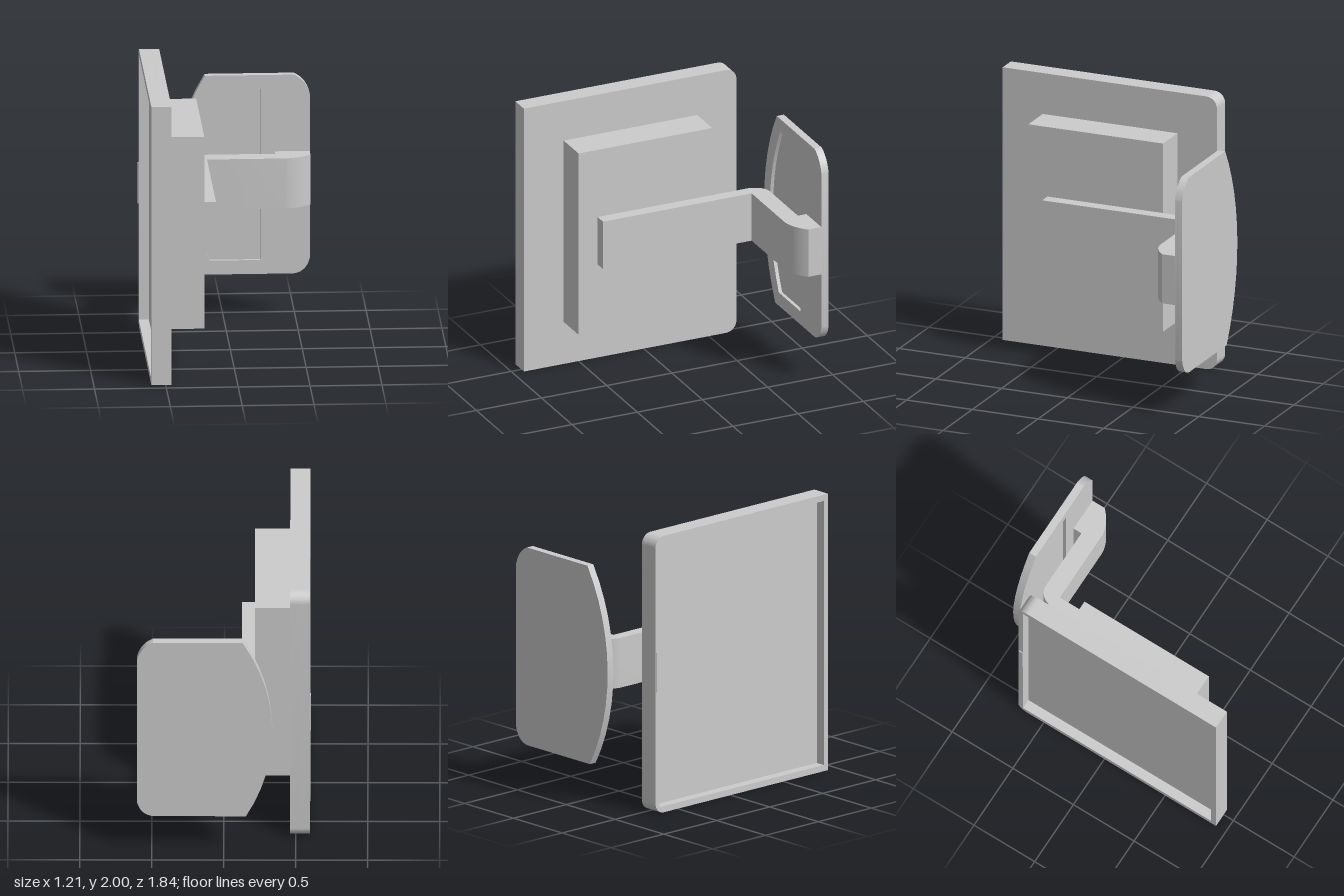
import * as THREE from 'three';
import { toCreasedNormals } from 'three/addons/utils/BufferGeometryUtils.js';

const material = new THREE.MeshStandardMaterial({ color: 0xcccccc });

function mesh(name, geometry) {
  const m = new THREE.Mesh(geometry, material);
  m.name = name;
  return m;
}

function block(name, x0, x1, y0, y1, z0, z1) {
  const g = new THREE.BoxGeometry(x1 - x0, y1 - y0, z1 - z0);
  g.translate((x0 + x1) / 2, (y0 + y1) / 2, (z0 + z1) / 2);
  return mesh(name, g);
}

function slab(shape, depth) {
  return new THREE.ExtrudeGeometry(shape, { depth, bevelEnabled: false, curveSegments: 12 });
}

const smooth = (g) => toCreasedNormals(g, 0.45);

// Panel outline in (z, y), rounded only along its rear edge
function panelShape() {
  const r = 0.08, z0 = -0.71, z1 = 0.92;
  const s = new THREE.Shape();
  s.moveTo(z1, 0);
  s.lineTo(z1, 2);
  s.lineTo(z0 + r, 2);
  s.absarc(z0 + r, 2 - r, r, Math.PI / 2, Math.PI, false);
  s.lineTo(z0, r);
  s.absarc(z0 + r, r, r, Math.PI, Math.PI * 1.5, false);
  s.closePath();
  return s;
}

function createPanel() {
  const group = new THREE.Group();
  group.name = 'panel';
  const place = (shape, depth, x) => smooth(slab(shape, depth).rotateY(-Math.PI / 2).translate(x, 0, 0));
  group.add(mesh('panelBody', place(panelShape(), 0.07, -0.46)));

  // Raised rim around the recessed outer face
  const rim = panelShape();
  const hole = new THREE.Path();
  hole.moveTo(-0.67, 0.045);
  hole.lineTo(-0.67, 1.955);
  hole.lineTo(0.88, 1.955);
  hole.lineTo(0.88, 0.045);
  hole.closePath();
  rim.holes.push(hole);
  group.add(mesh('panelRim', place(rim, 0.07, -0.53)));
  group.add(block('rimTab', -0.607, -0.6, 0.88, 1.17, -0.705, -0.675));
  return group;
}

// Bent arm, drawn in plan as (x, -z) and extruded upward
function createArm() {
  const s = new THREE.Shape();
  s.moveTo(-0.215, -0.47);
  s.lineTo(-0.125, -0.47);
  s.lineTo(-0.125, 0.67);
  s.lineTo(0.42, 0.67);
  s.quadraticCurveTo(0.52, 0.68, 0.6, 0.765);
  s.lineTo(0.6, 0.865);
  s.lineTo(0.355, 0.865);
  s.lineTo(0.355, 0.8);
  s.lineTo(-0.105, 0.8);
  s.quadraticCurveTo(-0.19, 0.795, -0.215, 0.69);
  s.closePath();
  return mesh('arm', smooth(slab(s, 0.36).rotateX(-Math.PI / 2).translate(0, 0.83, 0)));
}

// Rear plate outline with a bowed edge on one side
function plateShape() {
  const s = new THREE.Shape();
  s.moveTo(-0.155, 0.31);
  s.lineTo(0.485, 0.31);
  s.quadraticCurveTo(0.58, 0.32, 0.603, 0.43);
  s.lineTo(0.603, 1.59);
  s.quadraticCurveTo(0.58, 1.7, 0.49, 1.74);
  s.lineTo(-0.13, 1.74);
  s.bezierCurveTo(-0.4, 1.3, -0.405, 0.75, -0.155, 0.31);
  return s;
}

function createRearPlate() {
  const group = new THREE.Group();
  group.name = 'rearPlate';
  const place = (shape, depth, z) => smooth(slab(shape, depth).translate(0, 0, z));
  group.add(mesh('plateBack', place(plateShape(), 0.03, -0.92)));

  // Front layer with a shallow pocket
  const front = plateShape();
  const pocket = new THREE.Path();
  pocket.moveTo(-0.095, 0.41);
  pocket.bezierCurveTo(-0.295, 0.8, -0.295, 1.22, -0.075, 1.64);
  pocket.lineTo(0.26, 1.64);
  pocket.lineTo(0.26, 0.41);
  pocket.closePath();
  front.holes.push(pocket);
  group.add(mesh('plateFront', place(front, 0.025, -0.89)));
  return group;
}

export function createModel() {
  const model = new THREE.Group();
  model.name = 'wallMountedPanel';
  model.add(
    createPanel(),
    block('housing', -0.46, -0.215, 0.32, 1.7, -0.41, 0.615),
    createArm(),
    createRearPlate()
  );
  return model;
}
